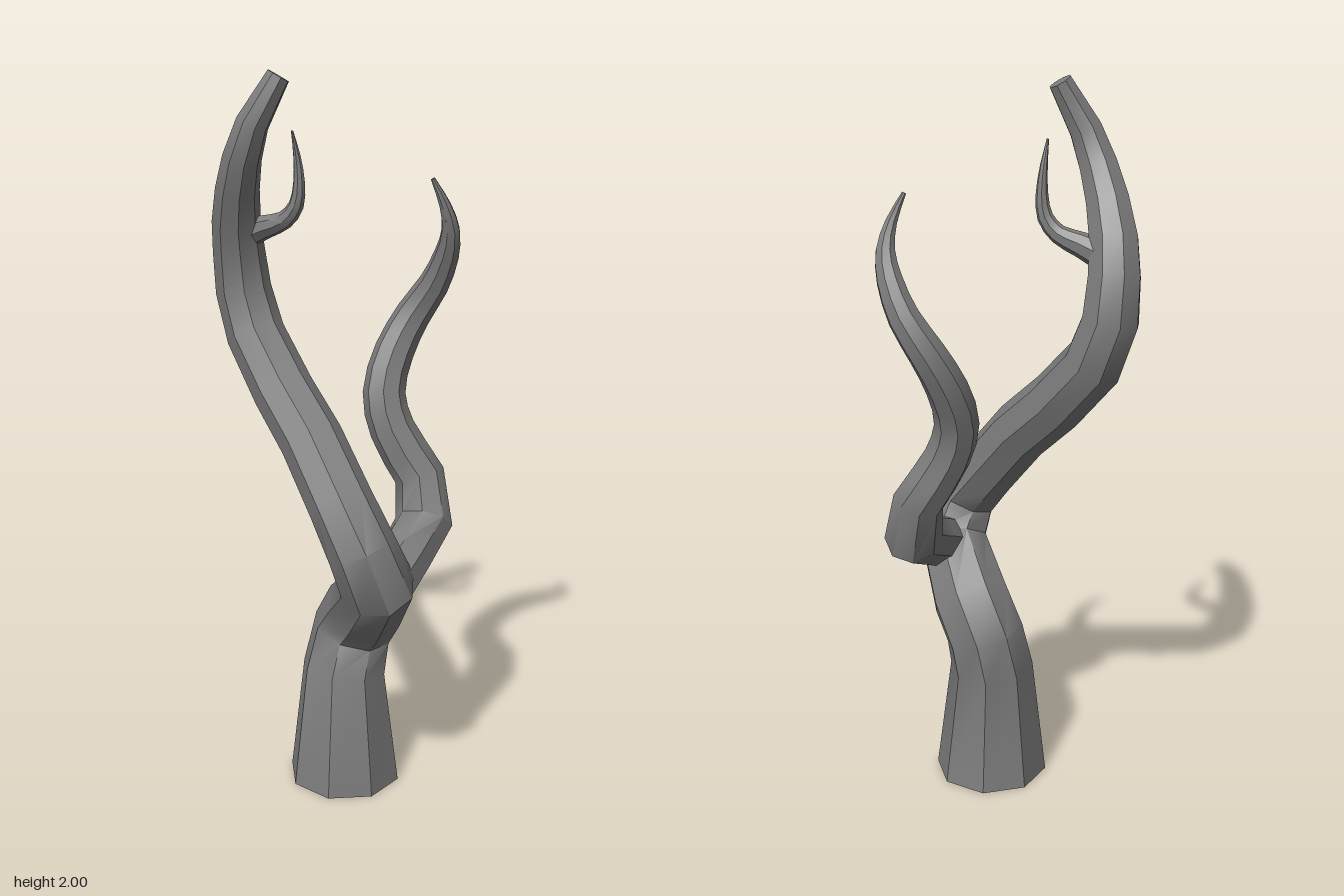
import * as THREE from 'three';
import { toCreasedNormals } from 'three/addons/utils/BufferGeometryUtils.js';

const SIDES = 8;
const material = new THREE.MeshStandardMaterial({ color: 0x7c7c7c, side: THREE.DoubleSide });

// Inserts a curved midpoint between neighbouring stations.
function refine(stations) {
  const curve = new THREE.CatmullRomCurve3(stations.map(s => new THREE.Vector3(s[0], s[1], s[2])));
  const steps = (stations.length - 1) * 2;
  return Array.from({ length: steps + 1 }, (_, i) => {
    const radius = (stations[Math.floor(i / 2)][3] + stations[Math.ceil(i / 2)][3]) / 2;
    return [...curve.getPoint(i / steps).toArray(), radius];
  });
}

// Tapered limb: rings of SIDES corners swept along stations [x, y, z, radius].
function limb(name, stations, startDir) {
  const pts = stations.map(s => new THREE.Vector3(s[0], s[1], s[2]));
  const dir = i => pts[i + 1].clone().sub(pts[i]).normalize();
  const last = pts.length - 1;
  const positions = [];
  const index = [];
  const side = new THREE.Vector3(1, 0, 0);
  let previous = new THREE.Vector3(0, 1, 0);

  pts.forEach((p, i) => {
    const tangent = i === 0 ? (startDir || dir(0))
      : i === last ? dir(last - 1)
      : dir(i - 1).add(dir(i)).normalize();
    // carry the ring's orientation along without twisting
    side.applyQuaternion(new THREE.Quaternion().setFromUnitVectors(previous, tangent));
    previous = tangent.clone();
    const up = new THREE.Vector3().crossVectors(side, tangent);
    for (let k = 0; k < SIDES; k++) {
      const a = k / SIDES * Math.PI * 2;
      const v = p.clone()
        .addScaledVector(side, Math.cos(a) * stations[i][3])
        .addScaledVector(up, -Math.sin(a) * stations[i][3]);
      positions.push(v.x, v.y, v.z);
    }
  });

  for (let i = 0; i < last; i++) {
    for (let k = 0; k < SIDES; k++) {
      const a = i * SIDES + k, b = i * SIDES + (k + 1) % SIDES;
      index.push(a, b, b + SIDES, a, b + SIDES, a + SIDES);
    }
  }
  // flat end cap
  for (let k = 1; k < SIDES - 1; k++) {
    index.push(last * SIDES, last * SIDES + k, last * SIDES + k + 1);
  }

  const geometry = new THREE.BufferGeometry();
  geometry.setAttribute('position', new THREE.Float32BufferAttribute(positions, 3));
  geometry.setIndex(index);
  const mesh = new THREE.Mesh(toCreasedNormals(geometry, 0.75), material);
  mesh.name = name;
  return mesh;
}

export function createModel() {
  const group = new THREE.Group();
  group.name = 'bareTree';

  // Trunk, open underneath, bending forward and running on into the main branch
  group.add(limb('trunkAndMainBranch', [
    [0.07, 0, 0.01, 0.162],
    [0.068, 0.34, 0.013, 0.12],
    [0.082, 0.45, -0.022, 0.114],
    [0.13, 0.54, 0.02, 0.112],
    [0.205, 0.672, 0.165, 0.103],
    [0.172, 0.785, 0.203, 0.094],
    [0.098, 0.89, 0.152, 0.089],
    [-0.01, 1.035, 0.07, 0.087],
    [-0.115, 1.145, -0.005, 0.085],
    [-0.222, 1.28, -0.083, 0.082],
    [-0.264, 1.4, -0.105, 0.078],
    [-0.27, 1.51, -0.09, 0.072],
    [-0.264, 1.6, -0.058, 0.067],
    [-0.244, 1.69, -0.018, 0.06],
    [-0.216, 1.775, 0.018, 0.053],
    [-0.18, 1.865, 0.035, 0.045],
    [-0.115, 1.985, 0.012, 0.032],
  ], new THREE.Vector3(0, 1, 0)));

  // Side branch, leaving the bend backwards and curling up to a point
  const [root, beforeElbow, elbow, ...rest] = [
    [0.22, 0.665, 0.13, 0.078],
    [0.245, 0.71, 0.03, 0.076],
    [0.268, 0.768, -0.098, 0.081],
    [0.243, 0.89, -0.14, 0.071],
    [0.162, 1.02, -0.138, 0.064],
    [0.132, 1.12, -0.156, 0.06],
    [0.148, 1.23, -0.203, 0.056],
    [0.192, 1.33, -0.238, 0.05],
    [0.25, 1.42, -0.235, 0.043],
    [0.29, 1.51, -0.208, 0.035],
    [0.305, 1.58, -0.18, 0.026],
    [0.293, 1.65, -0.155, 0.016],
    [0.262, 1.72, -0.138, 0.006],
  ];
  group.add(limb('sideBranch', [root, beforeElbow, elbow, ...refine(rest)]));

  // Thin twig on the inner side of the main branch
  group.add(limb('twig', refine([
    [-0.24, 1.56, -0.078, 0.04],
    [-0.18, 1.585, -0.06, 0.033],
    [-0.12, 1.608, -0.045, 0.025],
    [-0.085, 1.65, -0.038, 0.021],
    [-0.076, 1.71, -0.035, 0.016],
    [-0.08, 1.78, -0.03, 0.01],
    [-0.088, 1.845, -0.015, 0.003],
  ])));

  return group;
}
